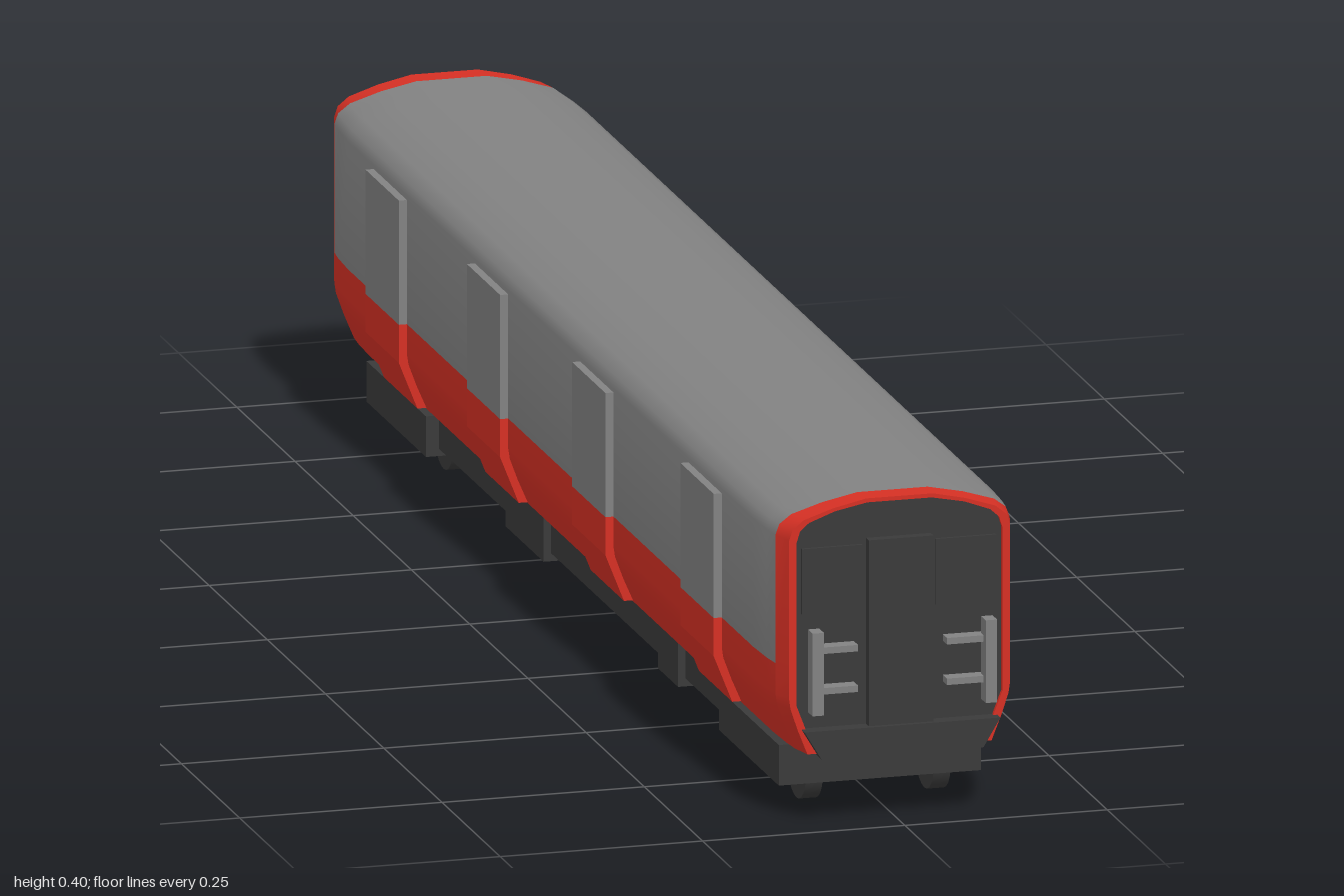
import * as THREE from 'three';
import { mergeVertices, toCreasedNormals } from 'three/addons/utils/BufferGeometryUtils.js';

const material = (name, color) => Object.assign(new THREE.MeshStandardMaterial({ color }), { name });

export function createModel() {
  const grey = material('body grey', 0x828282);
  const red = material('livery red', 0xd63024);
  const dark = material('charcoal', 0x3a3a3a);
  const train = new THREE.Group();
  train.name = 'railCar';

  function add(parent, name, geometry, mat, x = 0, y = 0, z = 0) {
    const mesh = new THREE.Mesh(geometry, mat);
    mesh.name = name;
    mesh.position.set(x, y, z);
    parent.add(mesh);
    return mesh;
  }
  // Box given by its limits on each axis
  function box(parent, name, mat, x0, x1, y0, y1, z0, z1) {
    return add(parent, name, new THREE.BoxGeometry(x1 - x0, y1 - y0, z1 - z0), mat,
      (x0 + x1) / 2, (y0 + y1) / 2, (z0 + z1) / 2);
  }
  const shapeOf = (pts) => new THREE.Shape(pts.map(([x, y]) => new THREE.Vector2(x, y)));
  const extrude = (shape, depth) => new THREE.ExtrudeGeometry(shape, { depth, bevelEnabled: false });
  const mirror = (half) => [...half, ...half.map(([x, y]) => [-x, y]).reverse()];

  // Skin through [z, width scale] stations along a counter-clockwise profile
  function loft(profile, stations) {
    const pos = [], index = [], n = profile.length;
    for (const [z, s] of stations) for (const [x, y] of profile) pos.push(x * s, y, z);
    for (let i = 0; i < stations.length - 1; i++) {
      for (let j = 0; j < n - 1; j++) {
        const a = i * n + j, b = a + 1, c = a + n, d = c + 1;
        index.push(a, b, c, b, d, c);
      }
    }
    const g = new THREE.BufferGeometry();
    g.setAttribute('position', new THREE.Float32BufferAttribute(pos, 3));
    g.setIndex(index);
    return toCreasedNormals(mergeVertices(g), 0.6);
  }

  // Body shell: tapered towards both ends
  const lower = [[0.125, 0.09], [0.138, 0.12], [0.148, 0.147], [0.15, 0.16], [0.15, 0.197]];
  const upper = [[0.15, 0.197], [0.15, 0.355], [0.145, 0.368], [0.13, 0.379], [0.09, 0.391], [0.045, 0.4]];
  const ring = mirror([...lower, ...upper.slice(1)]);
  const taper = [[0.87, 1], [0.92, 0.985], [0.947, 0.965]];
  const main = [...taper.map(([z, s]) => [-z, s]).reverse(), ...taper];
  const END = 0.977, END_SCALE = 0.91;
  add(train, 'upperBodyAndRoof', loft(mirror(upper), main), grey);
  add(train, 'lowerSideLeft', loft(lower, main), red);
  add(train, 'lowerSideRight', loft(lower.map(([x, y]) => [-x, y]).reverse(), main), red);
  add(train, 'floor', loft([[-0.125, 0.09], [0.125, 0.09]], [[-END, END_SCALE], ...main, [END, END_SCALE]]), red);

  // Side doors, grey above and red below
  const doorTop = [[0.14, 0.197], [0.16, 0.197], [0.16, 0.35], [0.14, 0.35]];
  const doorBottom = [[0.12, 0.092], [0.137, 0.092], [0.16, 0.15], [0.16, 0.197], [0.14, 0.197], [0.14, 0.15]];
  for (const z of [0.592, 0.127, -0.325, -0.76]) {
    for (const side of [1, -1]) {
      const flip = (pts) => pts.map(([x, y]) => [x * side, y]);
      add(train, 'doorUpper', extrude(shapeOf(flip(doorTop)), 0.143), grey, 0, 0, z);
      add(train, 'doorLower', extrude(shapeOf(flip(doorBottom)), 0.143), red, 0, 0, z);
    }
  }

  // Cab end: red collar, recessed dark face, door, windows, grab rails and apron
  function makeEnd(name) {
    const end = new THREE.Group();
    end.name = name;
    add(end, 'collar', loft(ring, [[0.947, 0.965], [END, END_SCALE]]), red);
    const inner = mirror([[0.106, 0.095], [0.127, 0.15], [0.127, 0.352], [0.123, 0.365],
      [0.112, 0.375], [0.08, 0.387], [0.04, 0.395]]);
    const rim = shapeOf(ring.map(([x, y]) => [x * END_SCALE, y]));
    rim.holes.push(new THREE.Path(inner.map(([x, y]) => new THREE.Vector2(x, y))));
    add(end, 'rim', extrude(rim, 0.008), red, 0, 0, END - 0.008);
    add(end, 'endFace', extrude(shapeOf(inner), 0.01), dark, 0, 0, 0.962);
    box(end, 'endDoor', dark, -0.04, 0.04, 0.12, 0.35, 0.965, 0.984);
    const apron = mirror([[0.1, 0.086], [0.121, 0.121]]);
    add(end, 'apron', extrude(shapeOf(apron), 0.03), dark, 0, 0, 0.96);
    for (const s of [1, -1]) {
      const span = (a, b) => (s > 0 ? [a, b] : [-b, -a]);
      box(end, 'endWindow', dark, ...span(0.045, 0.12), 0.262, 0.343, 0.968, 0.976);
      box(end, 'grabPost', grey, ...span(0.1, 0.114), 0.143, 0.245, 0.98, 1);
      for (const y of [0.17, 0.22]) {
        box(end, 'grabBar', grey, ...span(0.055, 0.102), y - 0.004, y + 0.004, 0.97, 0.99);
      }
    }
    train.add(end);
    return end;
  }
  makeEnd('frontEnd');
  makeEnd('backEnd').rotation.y = Math.PI;

  // Underframe and equipment boxes
  box(train, 'underframe', dark, -0.115, 0.115, 0.045, 0.09, -0.6, 0.612);
  box(train, 'equipmentBoxFront', dark, -0.124, 0.124, 0.035, 0.089, 0.37, 0.457);
  box(train, 'equipmentBoxRear', dark, -0.124, 0.124, 0.035, 0.089, -0.285, -0.12);

  // Bogies
  for (const z of [0.765, -0.75]) {
    const bogie = new THREE.Group();
    bogie.name = 'bogie';
    bogie.position.z = z;
    for (const s of [1, -1]) {
      box(bogie, 'sideBeam', dark, s * 0.116 - 0.009, s * 0.116 + 0.009, 0.03, 0.08, -0.128, 0.128);
      box(bogie, 'endBeam', dark, -0.108, 0.108, 0.03, 0.075, s * 0.119 - 0.009, s * 0.119 + 0.009);
      box(bogie, 'bodyMount', dark, s * 0.07 - 0.012, s * 0.07 + 0.012, 0.07, 0.092, -0.03, 0.03);
      add(bogie, 'axle', new THREE.CylinderGeometry(0.009, 0.009, 0.22, 12), dark, 0, 0.042, s * 0.08)
        .rotation.z = Math.PI / 2;
      for (const x of [0.079, -0.079]) {
        add(bogie, 'wheel', new THREE.CylinderGeometry(0.042, 0.042, 0.021, 24), dark, x, 0.042, s * 0.08)
          .rotation.z = Math.PI / 2;
      }
    }
    box(bogie, 'bolster', dark, -0.11, 0.11, 0.04, 0.075, -0.025, 0.025);
    train.add(bogie);
  }
  return train;
}
